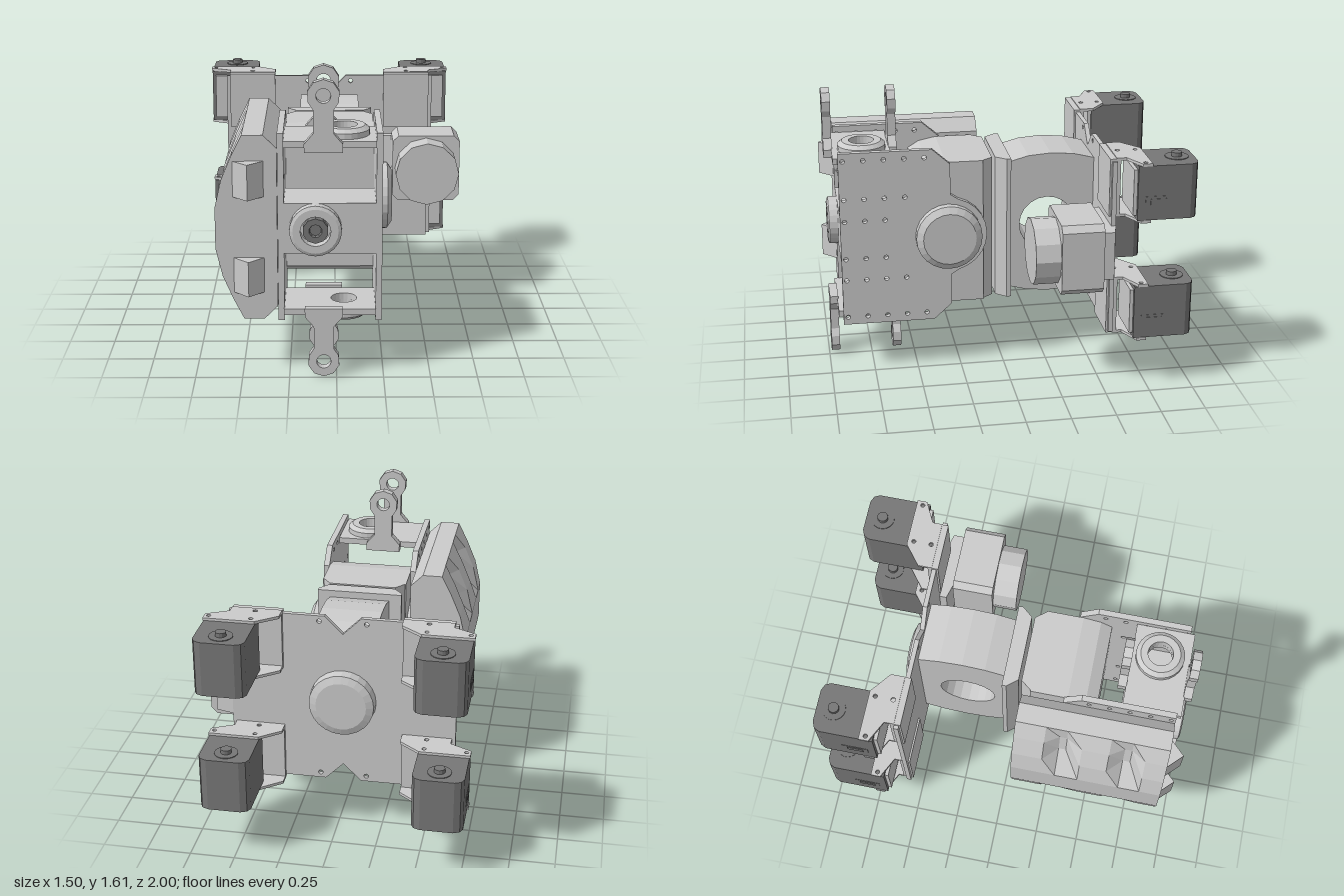
import * as THREE from 'three';

const MX = -0.035, MY = 0.808;          // mirror axes of the rear frame
const grey = new THREE.MeshStandardMaterial({ color: 0xcccccc, flatShading: true, side: THREE.DoubleSide });
const dark = new THREE.MeshStandardMaterial({ color: 0x777777, flatShading: true, side: THREE.DoubleSide });

function add(parent, name, geo, mat = grey) {
  const m = new THREE.Mesh(geo, mat);
  m.name = name;
  parent.add(m);
  return m;
}

// box from min/max bounds
function box(x0, x1, y0, y1, z0, z1) {
  return new THREE.BoxGeometry(Math.abs(x1 - x0), y1 - y0, z1 - z0)
    .translate((x0 + x1) / 2, (y0 + y1) / 2, (z0 + z1) / 2);
}

// polygon with round holes [u, v, r], extruded by depth
function slab(pts, depth, holes = []) {
  const s = new THREE.Shape(pts.map(p => new THREE.Vector2(p[0], p[1])));
  for (const [u, v, r] of holes) s.holes.push(new THREE.Path().absarc(u, v, r, 0, Math.PI * 2, true));
  return new THREE.ExtrudeGeometry(s, { depth, bevelEnabled: false, curveSegments: 10 });
}
const slabZ = (pts, z0, z1, holes) => slab(pts, z1 - z0, holes).translate(0, 0, z0);
// points given as [z, y]
const slabX = (pts, x0, x1, holes = []) => slab(pts.map(([z, y]) => [-z, y]), x1 - x0, holes.map(([z, y, r]) => [-z, y, r]))
  .rotateY(Math.PI / 2).translate(x0, 0, 0);
// points given as [x, z]
const slabY = (pts, y0, y1, holes = []) => slab(pts.map(([x, z]) => [x, -z]), y1 - y0, holes.map(([x, z, r]) => [x, -z, r]))
  .rotateX(-Math.PI / 2).translate(0, y0, 0);

// turned part from [radius, height] profile, axis 'x', 'y' or 'z'
function turned(profile, axis, x, y, z, seg = 24) {
  const g = new THREE.LatheGeometry(profile.map(p => new THREE.Vector2(p[0], p[1])), seg);
  if (axis === 'x') g.rotateZ(-Math.PI / 2);
  if (axis === 'z') g.rotateX(Math.PI / 2);
  return g.translate(x, y, z);
}
const mirrorY = pts => pts.concat(pts.slice().reverse().map(([u, v]) => [u, 2 * MY - v]));

// solid through closed cross-sections of equal length
function loft(sections) {
  const pos = [], put = (...ps) => ps.forEach(p => pos.push(p.x, p.y, p.z));
  const n = sections[0].length;
  for (let k = 0; k < sections.length - 1; k++)
    for (let i = 0; i < n; i++) {
      const j = (i + 1) % n, A = sections[k], B = sections[k + 1];
      put(A[i], A[j], B[j], A[i], B[j], B[i]);
    }
  const first = sections[0], last = sections[sections.length - 1];
  for (const [a, b, c] of THREE.ShapeUtils.triangulateShape(first.map(p => new THREE.Vector2(p.x, p.y)), [])) {
    put(first[a], first[c], first[b]);
    put(last[a], last[b], last[c]);
  }
  const g = new THREE.BufferGeometry();
  g.setAttribute('position', new THREE.Float32BufferAttribute(pos, 3));
  g.computeVertexNormals();
  return g;
}

function rearFrame(root) {
  const g = new THREE.Group();
  g.name = 'rearFrame';
  root.add(g);
  // back plate with a V notch above and below
  const plate = mirrorY([[-0.66, 1.31], [MX - 0.1, 1.31], [MX, 1.21], [MX + 0.1, 1.31], [0.59, 1.31]]);
  const holes = [];
  for (const sx of [-1, 1]) for (const sy of [-1, 1]) {
    holes.push([MX + sx * 0.13, MY + sy * 0.47, 0.013]);
    for (const a of [0.355, 0.47, 0.58]) for (const b of [0.24, 0.47]) holes.push([MX + sx * a, MY + sy * b, 0.012]);
  }
  add(g, 'backPlate', slabZ(plate, -0.566, -0.54, holes));
  add(g, 'rearDisc', turned([[0, -0.075], [0.14, -0.075], [0.18, -0.06], [0.184, 0], [0, 0]], 'z', MX, MY, -0.566));

  // rear housing with bulged top and bottom
  const bulge = [[-0.54, 1.19], [-0.42, 1.22], [-0.29, 1.23], [-0.16, 1.22], [-0.05, 1.19]];
  add(g, 'rearHousing', slabX(mirrorY(bulge), -0.205, 0.135, [[-0.27, MY, 0.16]]));
  add(g, 'rearFlange', slabY([[-0.275, -0.05], [0.205, -0.05], [0.205, -0.025], [0.155, 0.035], [-0.225, 0.035], [-0.275, -0.025]], 0.39, 1.23));

  // four corner motors in their brackets
  for (const sx of [-1, 1]) for (const sy of [-1, 1]) {
    const m = new THREE.Group();
    m.name = 'cornerMotor';
    g.add(m);
    const X = a => MX + sx * a, cy = MY + sy * 0.35, cx = X(0.58);
    const body = [[0.44, -0.66], [0.72, -0.66], [0.72, -0.955], [0.705, -0.985], [0.67, -1], [0.49, -1], [0.455, -0.985], [0.44, -0.955]];
    add(m, 'motorCase', slabY(body.map(([a, z]) => [X(a), z]), cy - 0.155, cy + 0.155), dark);
    add(m, 'motorShaft', new THREE.CylinderGeometry(0.03, 0.03, 0.365, 12).translate(cx, cy, -0.905), dark);
    add(m, 'motorBoss', new THREE.CylinderGeometry(0.065, 0.065, 0.318, 18).translate(cx, cy, -0.905), dark);
    for (const [w, h] of [[0.145, 0.064], [0.09, 0.035]])
      add(m, 'connector', box(X(0.70), X(0.722 + (w < 0.1 ? 0.003 : 0)), cy - 0.05 - h / 2, cy - 0.05 + h / 2, -0.775 - w / 2, -0.775 + w / 2), dark);
    const wing = [[0.33, -0.566], [0.605, -0.566], [0.605, -0.62], [0.725, -0.68], [0.725, -0.735], [0.445, -0.735], [0.33, -0.645]];
    const ears = [[X(0.47), -0.60, 0.013], [X(0.47), -0.70, 0.012], [X(0.70), -0.70, 0.012]];
    for (const s of [-1, 1]) {
      const y = cy + s * 0.162;
      add(m, 'bracketWing', slabY(wing.map(([a, z]) => [X(a), z]), y - 0.008, y + 0.008, ears));
    }
    add(m, 'bracketBase', box(X(0.33), X(0.605), cy - 0.165, cy + 0.165, -0.59, -0.53));
    add(m, 'motorMount', box(X(0.45), X(0.70), cy - 0.13, cy + 0.13, -0.675, -0.64));
  }
}

function sidePod(root) {
  const g = new THREE.Group();
  g.name = 'sidePod';
  root.add(g);
  const x = 0.543;
  add(g, 'podArm', slabY([[0.29, -0.54], [0.59, -0.566], [0.69, -0.54], [0.69, -0.47], [0.40, -0.47], [0.29, -0.50]], 0.67, 0.945));
  const a = 0.2, b = 0.165;
  const square = [[a, b], [b, a], [-b, a], [-a, b], [-a, -b], [-b, -a], [b, -a], [a, -b]].map(([u, v]) => [x + u, MY + v]);
  add(g, 'podBlock', slabZ(square, -0.472, -0.238));
  add(g, 'podDrum', turned([[0, -0.24], [0.187, -0.24], [0.187, -0.1], [0, -0.1]], 'z', x, MY, 0, 12));
}

function frontBody(root) {
  const g = new THREE.Group();
  g.name = 'frontBody';
  root.add(g);
  // housing between the side plates
  add(g, 'frontHousing', slabX(mirrorY([[0.11, 1.23], [0.32, 1.23], [0.42, 1.21], [0.485, 1.17]]), -0.278, 0.207));
  add(g, 'frontFlange', slabY([[-0.225, 0.052], [0.155, 0.052], [0.205, 0.115], [-0.275, 0.115]], 0.39, 1.23));

  // side plates with a rounded tab around the pivot disc
  const edge = [[0.92, 1.32], [0.40, 1.32], [0.30, 1.23], [0.30, 1.05]];
  for (let i = 1; i < 6; i++) {
    const t = i * Math.PI / 12;
    edge.push([0.313 - 0.22 * Math.sin(t), MY + 0.22 * Math.cos(t)]);
  }
  edge.push([0.093, MY]);
  const holes = [];
  for (const [b, n] of [[0.467, 5], [0.242, 4], [0.112, 3]])
    for (let i = 0; i < n; i++) for (const s of [-1, 1]) holes.push([0.895 - 0.113 * i, MY + s * b, 0.013]);
  for (const x of [-0.308, 0.207]) add(g, 'sidePlate', slabX(mirrorY(edge), x, x + 0.033, holes));
  add(g, 'pivotDisc', turned([[0, 0], [0.187, 0], [0.187, 0.045], [0.15, 0.07], [0, 0.07]], 'x', 0.24, MY, 0.313));

  // central block and barrel
  add(g, 'centreBlock', box(-0.278, 0.207, 0.67, 0.945, 0.64, 0.92));
  add(g, 'barrelRing', turned([[0.08, 0], [0.137, 0], [0.137, 0.05], [0.12, 0.058], [0.08, 0.058], [0.08, 0]], 'z', -0.11, MY, 0.92));
  add(g, 'barrelCore', turned([[0, 0.03], [0.03, 0.03], [0.035, 0.05], [0.068, 0.05], [0.068, 0]], 'z', -0.11, MY, 0.92, 10), dark);

  // clevis mounts above and below
  for (const s of [-1, 1]) {
    const m = new THREE.Group();
    m.name = 'clevis';
    g.add(m);
    const Y = b => MY + s * b, cx = -0.068;
    const slabBetween = (pts, b0, b1, h) => slabY(pts, Math.min(Y(b0), Y(b1)), Math.max(Y(b0), Y(b1)), h);
    add(m, 'clevisPlate', slabBetween([[-0.278, 0.62], [0.207, 0.62], [0.207, 0.945], [-0.278, 0.945]], 0.44, 0.475, [[0.04, 0.775, 0.07]]));
    const ring = turned([[0.07, 0], [0.135, 0], [0.135, 0.03], [0.11, 0.05], [0.07, 0.05], [0.07, 0]], 'y', 0.04, 0, 0.775);
    if (s < 0) ring.rotateZ(Math.PI).translate(0.08, 0, 0);
    add(m, 'clevisRing', ring.translate(0, Y(0.475), 0));
    const lug = [[-0.1, 0.425], [-0.1, 0.47], [-0.053, 0.525], [-0.053, 0.65]];
    for (let i = 0; i <= 6; i++) {
      const t = Math.PI * (1.125 - i * 1.25 / 6);
      lug.push([0.085 * Math.cos(t), 0.722 + 0.085 * Math.sin(t)]);
    }
    lug.push([0.053, 0.65], [0.053, 0.525], [0.1, 0.47], [0.1, 0.425]);
    for (const z of [0.575, 0.938])
      add(m, 'lug', slabZ(lug.map(([u, v]) => [cx + u, Y(v)]), z, z + 0.048, [[cx, Y(0.722), 0.038]]));
  }
}

function shield(root) {
  const g = new THREE.Group();
  g.name = 'sideShield';
  root.add(g);
  // curved armour with notches bitten into its upper and lower slopes
  const stations = [[0.07, 0], [0.24, 0], [0.32, 1], [0.36, 1], [0.45, 0], [0.6, 0], [0.68, 1], [0.72, 1], [0.8, 0], [0.92, 0]];
  add(g, 'armour', loft(stations.map(([z, r]) =>
    mirrorY([[-0.31, 1.24], [-0.38, 1.31], [-0.49, 1.31], [-0.545 + 0.05 * r, 1.2], [-0.60 + 0.08 * r, 1.07], [-0.635, 0.92]])
      .map(([x, y]) => new THREE.Vector3(x, y, z)))));
  // wedge blocks on the front edge
  for (const y of [0.455, 0.98])
    add(g, 'frontWedge', slabY([[-0.55, 0.91], [-0.46, 1.0], [-0.37, 0.91]], y, y + 0.192));
}

export function createModel() {
  const root = new THREE.Group();
  root.name = 'jointedMachine';
  rearFrame(root);
  sidePod(root);
  frontBody(root);
  shield(root);
  return root;
}
